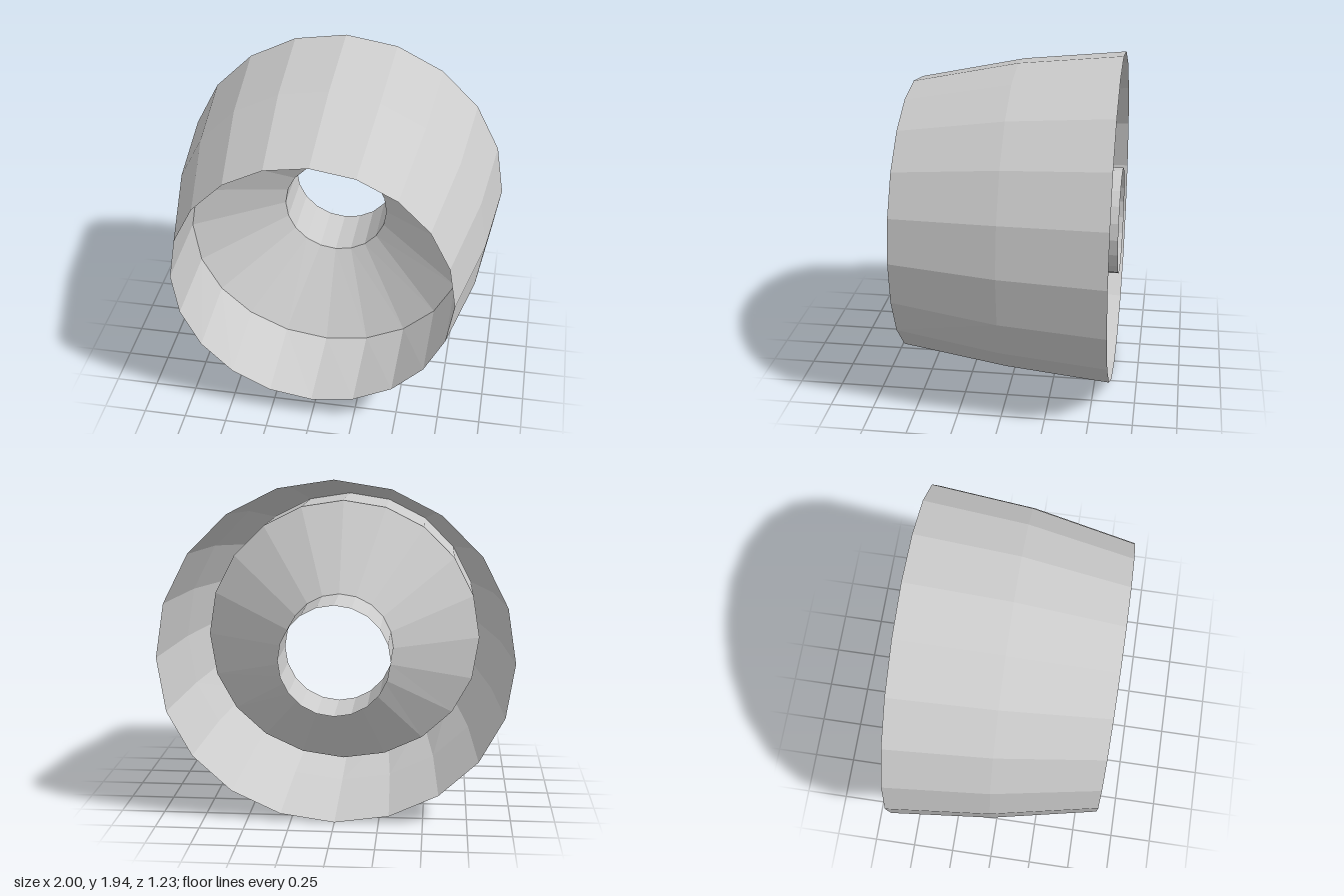
import * as THREE from 'three';

const SIDES = 20;
const AXIS_Y = 0.942;
const FLATTEN = 0.058;

// Ring strip around the z axis from [radius, z, flattened at the ground?] rows
function ringStrip(name, rows, material) {
  const points = rows.map(([r, z]) => new THREE.Vector2(r, z));
  const geometry = new THREE.LatheGeometry(points, SIDES);
  geometry.rotateX(Math.PI / 2);

  // Squash the lower part of the marked rings
  const pos = geometry.attributes.position;
  for (let i = 0; i < pos.count; i++) {
    const [r, , flat] = rows[i % rows.length];
    if (!flat) continue;
    const low = Math.max(0, (-pos.getY(i) / r - 0.309) / 0.691);
    pos.setY(i, pos.getY(i) + FLATTEN * r * Math.pow(low, 1.1));
  }
  geometry.computeVertexNormals();

  const mesh = new THREE.Mesh(geometry, material);
  mesh.name = name;
  mesh.position.y = AXIS_Y;
  return mesh;
}

export function createModel() {
  const group = new THREE.Group();
  group.name = 'wheel';
  const material = new THREE.MeshStandardMaterial({
    color: 0xcccccc, flatShading: true, side: THREE.DoubleSide,
  });

  const back = [1.0, -0.603, true];
  const middle = [0.94, 0, true];
  const front = [0.813, 0.615, false];
  const dishEdge = [0.82, 0.085, true];
  const hubFront = [0.315, -0.25, false];
  const hubBack = [0.315, -0.617, false];

  // Tapered tread, open at the back
  group.add(ringStrip('outerShell', [back, middle, front], material));
  // Wall running inward from the front opening
  group.add(ringStrip('innerWall', [front, dishEdge], material));
  // Cone narrowing to the hub
  group.add(ringStrip('dish', [dishEdge, hubFront], material));
  // Open axle tube
  group.add(ringStrip('hubTube', [hubFront, hubBack], material));

  return group;
}
